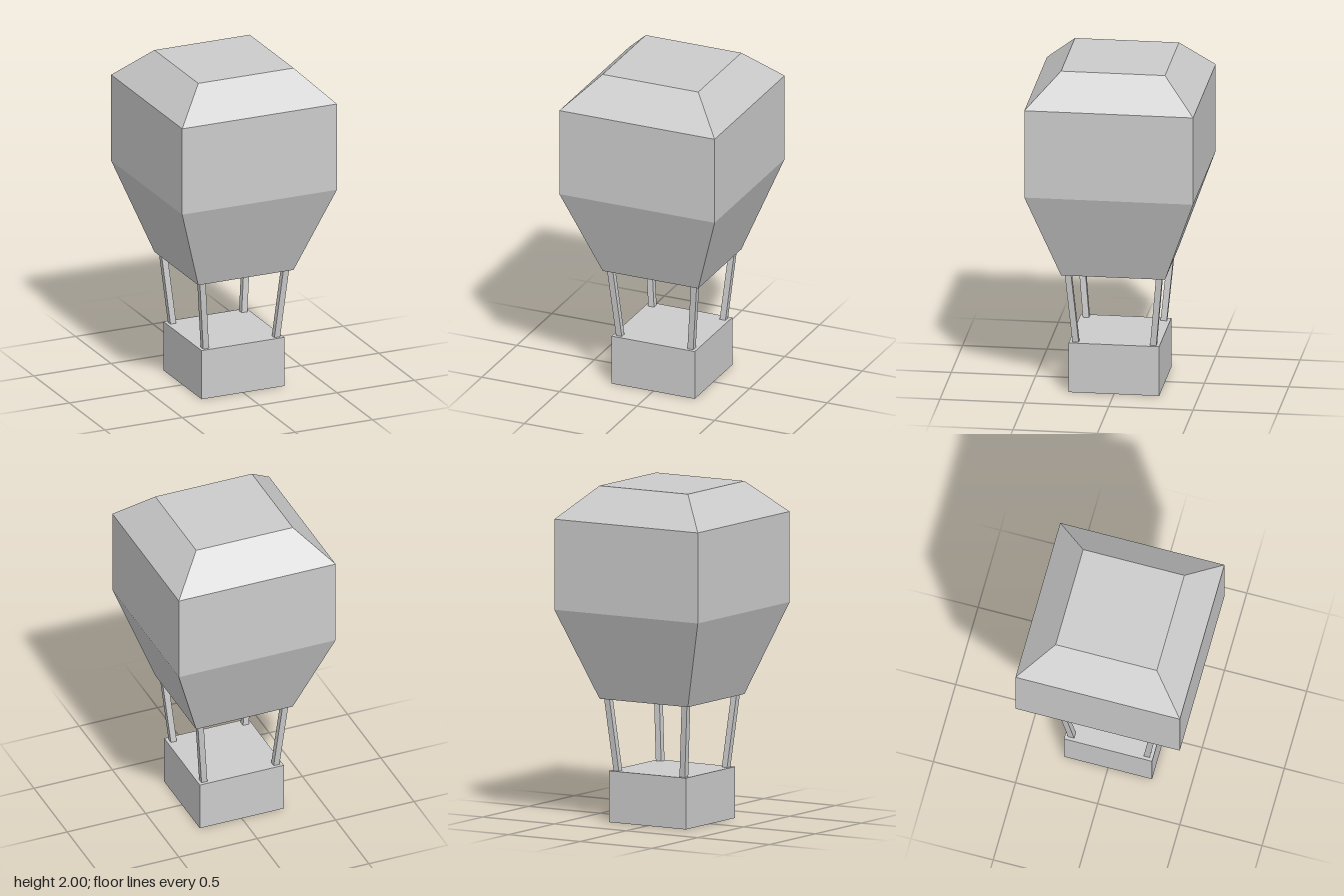
import * as THREE from 'three';

const material = new THREE.MeshStandardMaterial({ color: 0xcccccc, flatShading: true });

function addMesh(parent, name, geometry) {
  const mesh = new THREE.Mesh(geometry, material);
  mesh.name = name;
  parent.add(mesh);
  return mesh;
}

// Square solid of revolution from [half width, height] pairs, bottom to top
function squareLathe(profile) {
  const points = profile.map(([half, y]) => new THREE.Vector2(half * Math.SQRT2, y));
  const geometry = new THREE.LatheGeometry(points, 4, Math.PI / 4).toNonIndexed();
  geometry.computeVertexNormals();
  return geometry;
}

// Square bar whose ends stay level while it leans outward towards a corner
function leaningPost(sx, sz, bottom, top, y0, y1, width) {
  const geometry = new THREE.BoxGeometry(width, y1 - y0, width);
  const position = geometry.attributes.position;
  for (let i = 0; i < position.count; i++) {
    const offset = position.getY(i) > 0 ? top : bottom;
    position.setX(i, position.getX(i) + sx * offset);
    position.setZ(i, position.getZ(i) + sz * offset);
  }
  geometry.translate(0, (y0 + y1) / 2, 0);
  geometry.computeVertexNormals();
  return geometry;
}

export function createModel() {
  const model = new THREE.Group();
  model.name = 'hotAirBalloon';

  // Solid basket
  addMesh(model, 'basket', new THREE.BoxGeometry(0.536, 0.305, 0.536)).position.y = 0.1525;

  // Faceted envelope, closed at both ends
  addMesh(model, 'envelope', squareLathe([
    [0, 0.735], [0.308, 0.735], [0.5, 1.272], [0.5, 1.81], [0.308, 2], [0, 2],
  ]));

  // Four posts joining basket and envelope
  const posts = new THREE.Group();
  posts.name = 'posts';
  model.add(posts);
  for (const sx of [-1, 1]) {
    for (const sz of [-1, 1]) {
      const name = `${sz > 0 ? 'front' : 'back'}${sx > 0 ? 'Left' : 'Right'}Post`;
      addMesh(posts, name, leaningPost(sx, sz, 0.23, 0.27, 0.305, 0.735, 0.037));
    }
  }
  return model;
}
